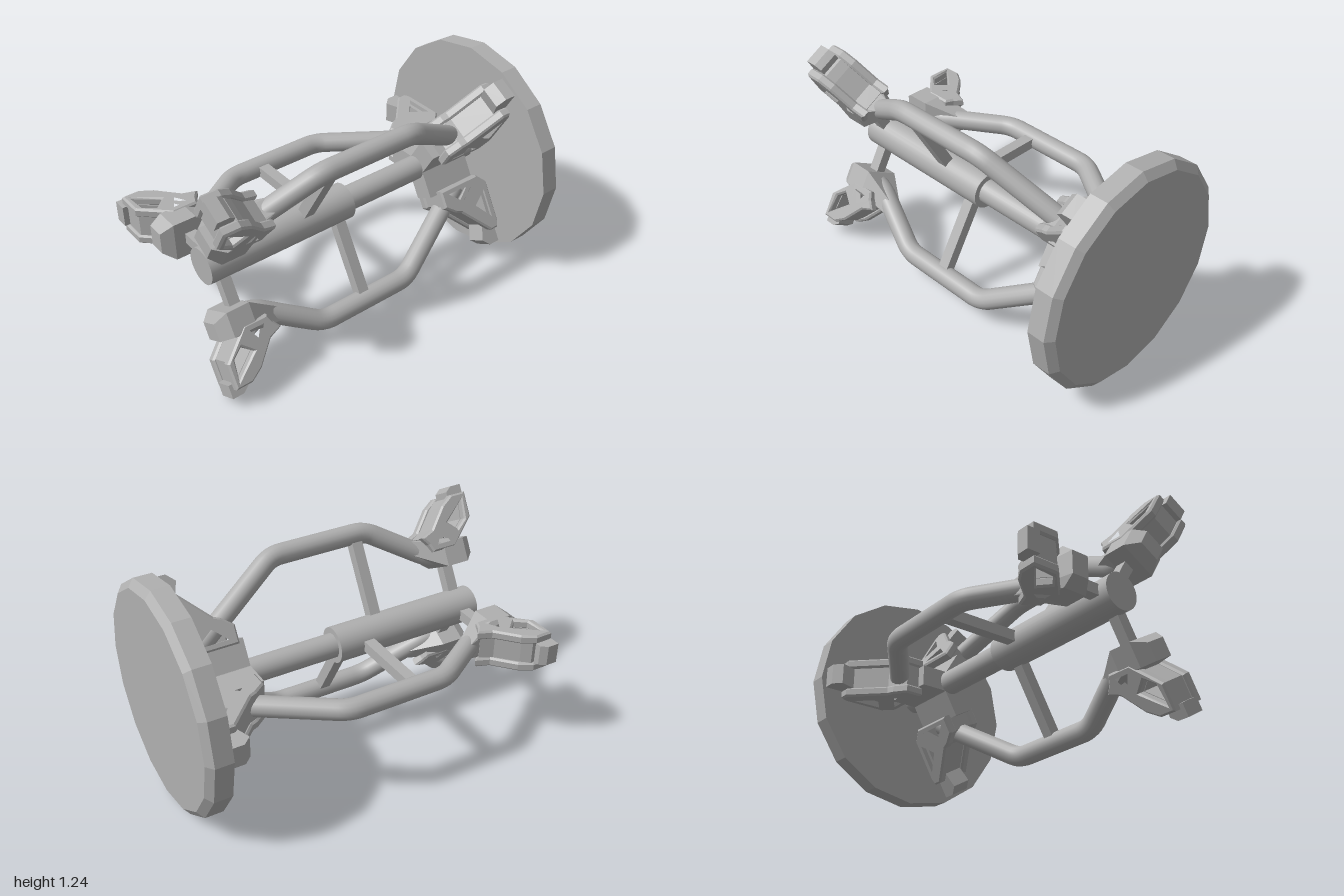
import * as THREE from 'three';
import { ConvexGeometry } from 'three/addons/geometries/ConvexGeometry.js';

const grey = new THREE.MeshStandardMaterial({ color: 0xb0b0b0 });
grey.name = 'grey';

function add(parent, name, geometry) {
  const mesh = new THREE.Mesh(geometry, grey);
  mesh.name = name;
  parent.add(mesh);
  return mesh;
}

function flat(geometry) {
  const g = geometry.index ? geometry.toNonIndexed() : geometry;
  g.computeVertexNormals();
  return g;
}

// Cylinder along z between two depths
function axial(z0, z1, r0, r1, sides) {
  return new THREE.CylinderGeometry(r1, r0, z1 - z0, sides)
    .rotateX(Math.PI / 2).translate(0, 0, (z0 + z1) / 2);
}

// Block in arm space: x = radius, y = depth, z = sideways
function block(x0, x1, y0, y1, halfWidth) {
  return new THREE.BoxGeometry(x1 - x0, y1 - y0, halfWidth * 2)
    .translate((x0 + x1) / 2, (y0 + y1) / 2, 0);
}

const points = (list) => list.map(([x, y]) => new THREE.Vector2(x, y));

// Plate with cut-outs and a small chamfer, from sideways position w0 to w1
function plate(outline, holes, w0, w1, bevel = 0.01) {
  const shape = new THREE.Shape(points(outline));
  for (const h of holes) shape.holes.push(new THREE.Path(points(h)));
  return new THREE.ExtrudeGeometry(shape, {
    depth: w1 - w0 - 2 * bevel, bevelEnabled: bevel > 0, bevelThickness: bevel,
    bevelSize: bevel, bevelOffset: -bevel, bevelSegments: 1,
  }).translate(0, 0, w0 + bevel);
}

// Straight runs joined by rounded bends
function bentPath(list, bend) {
  const p = list.map(([x, y]) => new THREE.Vector3(x, y, 0));
  const path = new THREE.CurvePath();
  let from = p[0];
  for (let i = 1; i < p.length - 1; i++) {
    const a = p[i].clone().add(p[i - 1].clone().sub(p[i]).setLength(bend));
    const b = p[i].clone().add(p[i + 1].clone().sub(p[i]).setLength(bend));
    path.add(new THREE.LineCurve3(from, a));
    path.add(new THREE.QuadraticBezierCurve3(a, p[i], b));
    from = b;
  }
  path.add(new THREE.LineCurve3(from, p[p.length - 1]));
  return path;
}

const front = {
  outline: [[0.615, 0.89], [0.57, 0.82], [0.455, 0.72], [0.425, 0.645], [0.38, 0.68],
    [0.335, 0.70], [0.335, 0.84], [0.475, 0.985], [0.615, 0.985]],
  core: [[0.60, 0.88], [0.56, 0.835], [0.455, 0.74], [0.42, 0.67], [0.35, 0.71],
    [0.35, 0.84], [0.475, 0.97], [0.60, 0.97]],
  holes: [[[0.362, 0.72], [0.362, 0.83], [0.455, 0.775]],
    [[0.58, 0.955], [0.47, 0.942], [0.425, 0.885], [0.475, 0.83]]],
  tip: [[0.59, 0.90], [0.635, 0.90], [0.662, 0.935], [0.662, 1.0], [0.59, 1.0]],
};

const rear = {
  outline: [[0.50, -0.80], [0.50, -0.85], [0.465, -0.865], [0.225, -0.865], [0.165, -0.805],
    [0.165, -0.535], [0.265, -0.535], [0.315, -0.60], [0.33, -0.635]],
  core: [[0.485, -0.805], [0.485, -0.855], [0.23, -0.855], [0.178, -0.80],
    [0.178, -0.545], [0.26, -0.545], [0.305, -0.605], [0.32, -0.645]],
  holes: [[[0.44, -0.835], [0.25, -0.835], [0.325, -0.725]],
    [[0.193, -0.78], [0.193, -0.57], [0.285, -0.665]]],
  tip: [[0.46, -0.866], [0.592, -0.866], [0.592, -0.80], [0.55, -0.755], [0.46, -0.785]],
};

function bracket(name, { outline, core, holes, tip }) {
  const g = new THREE.Group();
  g.name = name;
  add(g, 'sidePlate', plate(outline, holes, 0.06, 0.112));
  add(g, 'sidePlate', plate(outline, holes, -0.112, -0.06));
  add(g, 'bracketCore', plate(core, holes, -0.065, 0.065, 0));
  add(g, 'bracketTip', plate(tip, [], -0.058, 0.058, 0));
  return g;
}

function arm(angle, strutDepth) {
  const g = new THREE.Group();
  g.name = 'arm';
  const radial = new THREE.Vector3(Math.cos(angle), Math.sin(angle), 0);
  const depth = new THREE.Vector3(0, 0, 1);
  g.quaternion.setFromRotationMatrix(
    new THREE.Matrix4().makeBasis(radial, depth, radial.clone().cross(depth)));

  // Bowed tube
  const path = bentPath([[0.20, -0.71], [0.543, -0.21], [0.543, 0.36], [0.31, 0.72], [0.30, 0.85]], 0.06);
  add(g, 'armTube', new THREE.TubeGeometry(path, 72, 0.056, 16, false));

  // Struts back to the central barrel
  add(g, 'longStrut', block(0.06, 0.53, strutDepth - 0.031, strutDepth + 0.031, 0.03));
  add(g, 'shortStrut', block(0.06, 0.28, 0.778, 0.84, 0.03));

  // Flared foot where the tube meets the front bracket
  const rings = [[0.60, 0.345, 0.425, 0.04], [0.77, 0.238, 0.37, 0.108],
    [0.90, 0.238, 0.37, 0.108], [0.962, 0.275, 0.37, 0.06]];
  const corners = [];
  for (const [y, x0, x1, w] of rings)
    for (const s of [-w, w]) for (const x of [x0, x1]) corners.push(new THREE.Vector3(x, y, s));
  add(g, 'flaredFoot', new ConvexGeometry(corners));

  // Rear rib onto the rod
  add(g, 'rearRib', block(0.03, 0.185, -0.81, -0.495, 0.058));

  g.add(bracket('frontBracket', front), bracket('rearBracket', rear));
  return g;
}

export function createModel() {
  const model = new THREE.Group();
  model.name = 'threeArmFrame';
  const body = new THREE.Group();
  body.name = 'body';
  body.position.set(0.017, 0.622, 0);
  model.add(body);

  // Base disc: rim and bevelled back
  add(body, 'baseDisc', flat(axial(-0.967, -0.868, 0.622, 0.622, 16)));
  add(body, 'baseBevel', flat(axial(-1, -0.967, 0.58, 0.622, 16)));

  // Central barrel and rod
  add(body, 'barrel', axial(0.008, 0.895, 0.1, 0.1, 32));
  add(body, 'rod', axial(-0.868, 0.02, 0.068, 0.068, 32));

  const depths = [0.29, 0.18, 0.085];
  depths.forEach((d, i) => body.add(arm(Math.PI / 3 + i * Math.PI * 2 / 3, d)));
  return model;
}
